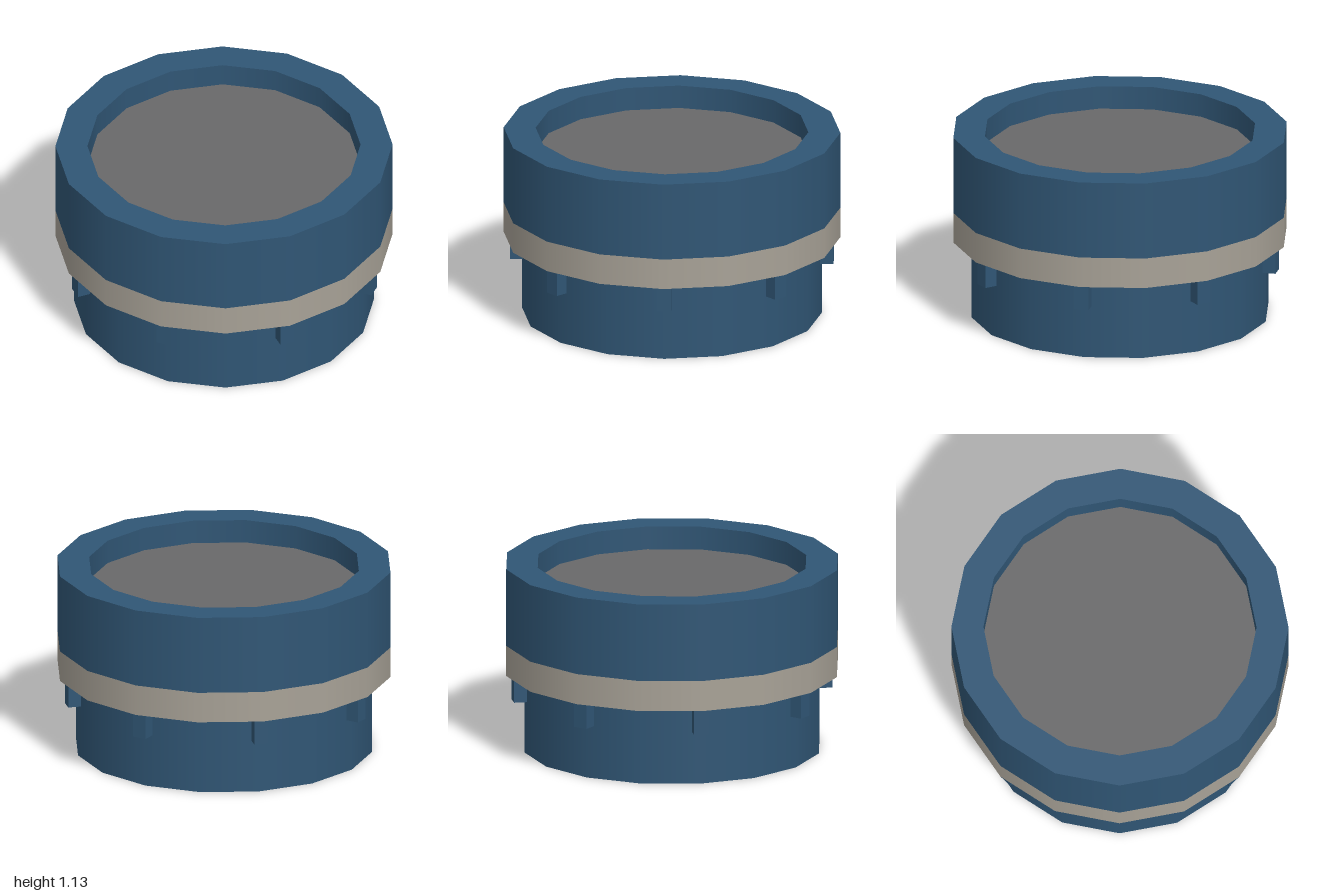
import * as THREE from 'three';

const SIDES = 16;

function makeMaterial(name, color) {
  const m = new THREE.MeshStandardMaterial({ color, side: THREE.DoubleSide });
  m.name = name;
  return m;
}

export function createModel() {
  const model = new THREE.Group();
  model.name = 'roundHousing';
  const blue = makeMaterial('blue', 0x305675);
  const beige = makeMaterial('beige', 0xa8a297);
  const grey = makeMaterial('grey', 0x69696a);

  // One straight band of the turned profile, from (r0, y0) to (r1, y1)
  function band(name, material, r0, y0, r1, y1) {
    const profile = [new THREE.Vector2(r0, y0), new THREE.Vector2(r1, y1)];
    const mesh = new THREE.Mesh(new THREE.LatheGeometry(profile, SIDES), material);
    mesh.name = name;
    model.add(mesh);
  }

  // Hollow shell, open at the bottom
  band('lowerWall', blue, 0.89, 0, 0.89, 0.475);
  band('ledge', blue, 0.89, 0.475, 1, 0.475);
  band('beigeBand', beige, 1, 0.475, 1, 0.66);
  band('upperWall', blue, 1, 0.66, 1, 1.13);
  band('topRim', blue, 1, 1.13, 0.81, 1.13);
  band('innerWall', blue, 0.81, 1.13, 0.81, 0.99);

  // Recessed disc
  const disc = new THREE.Mesh(new THREE.CircleGeometry(0.81, SIDES), grey);
  disc.name = 'recessedDisc';
  disc.rotation.x = -Math.PI / 2;
  disc.position.y = 0.99;
  model.add(disc);

  // Eight tabs hanging below the ledge
  const tabGeometry = new THREE.BoxGeometry(0.087, 0.155, 0.09);
  tabGeometry.translate(0, 0.3975, 0.915);
  for (let i = 0; i < 8; i++) {
    const tab = new THREE.Mesh(tabGeometry, blue);
    tab.name = 'tab' + (i + 1);
    tab.rotation.y = (i + 0.5) * Math.PI / 4;
    model.add(tab);
  }
  return model;
}
